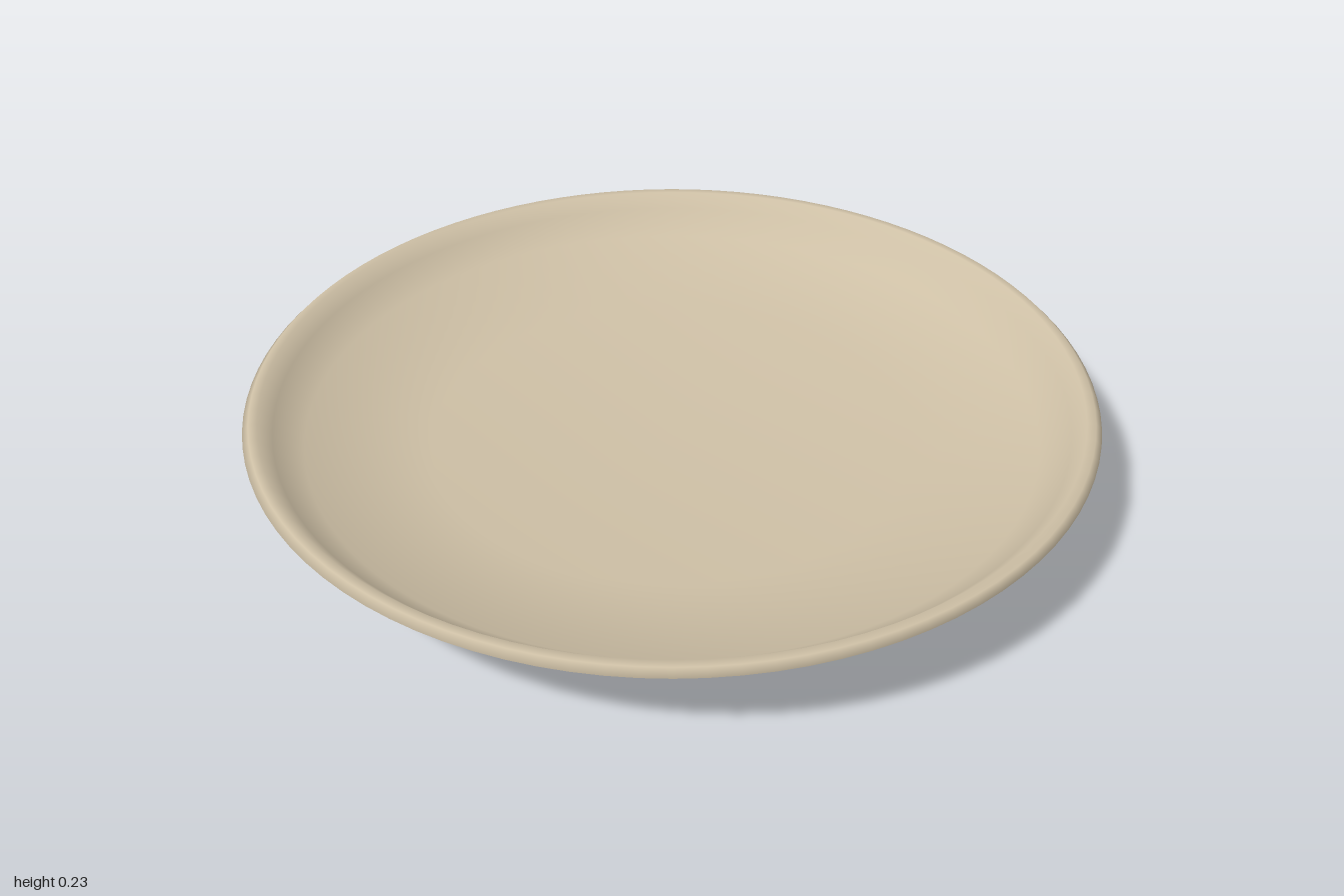
import * as THREE from 'three';

// Revolves a profile; each vertex normal is the even average of its two neighbouring edges
function smoothLathe(profile, segments) {
  const geometry = new THREE.LatheGeometry(profile, segments);
  const edgeNormals = profile.slice(1).map((p, i) =>
    new THREE.Vector2(p.y - profile[i].y, profile[i].x - p.x).normalize());
  const last = edgeNormals.length - 1;
  const normals = profile.map((p, i) => p.x === 0
    ? new THREE.Vector2(0, i === 0 ? -1 : 1)
    : edgeNormals[i - 1].clone().add(edgeNormals[Math.min(i, last)]).normalize());
  const attribute = geometry.attributes.normal;
  for (let v = 0; v < attribute.count; v++) {
    const n = normals[v % profile.length];
    const angle = Math.floor(v / profile.length) / segments * Math.PI * 2;
    attribute.setXYZ(v, n.x * Math.sin(angle), n.y, n.x * Math.cos(angle));
  }
  return geometry;
}

export function createModel() {
  const group = new THREE.Group();
  group.name = 'plate';

  const ceramic = new THREE.MeshStandardMaterial({ color: 0xcdbfa5 });
  ceramic.name = 'beige ceramic';

  // Closed profile: foot, flared underside, rounded rim, then the inner dish
  const profile = [
    [0, 0], [0.55, 0], [0.6, 0.06], [0.9, 0.125],
    [1, 0.22], [0.985, 0.235], [0.965, 0.235],
    [0.935, 0.2], [0.87, 0.145], [0.58, 0.09], [0, 0.08],
  ].map(([r, y]) => new THREE.Vector2(r, y));

  const dish = new THREE.Mesh(smoothLathe(profile, 96), ceramic);
  dish.name = 'dish';
  group.add(dish);

  return group;
}
